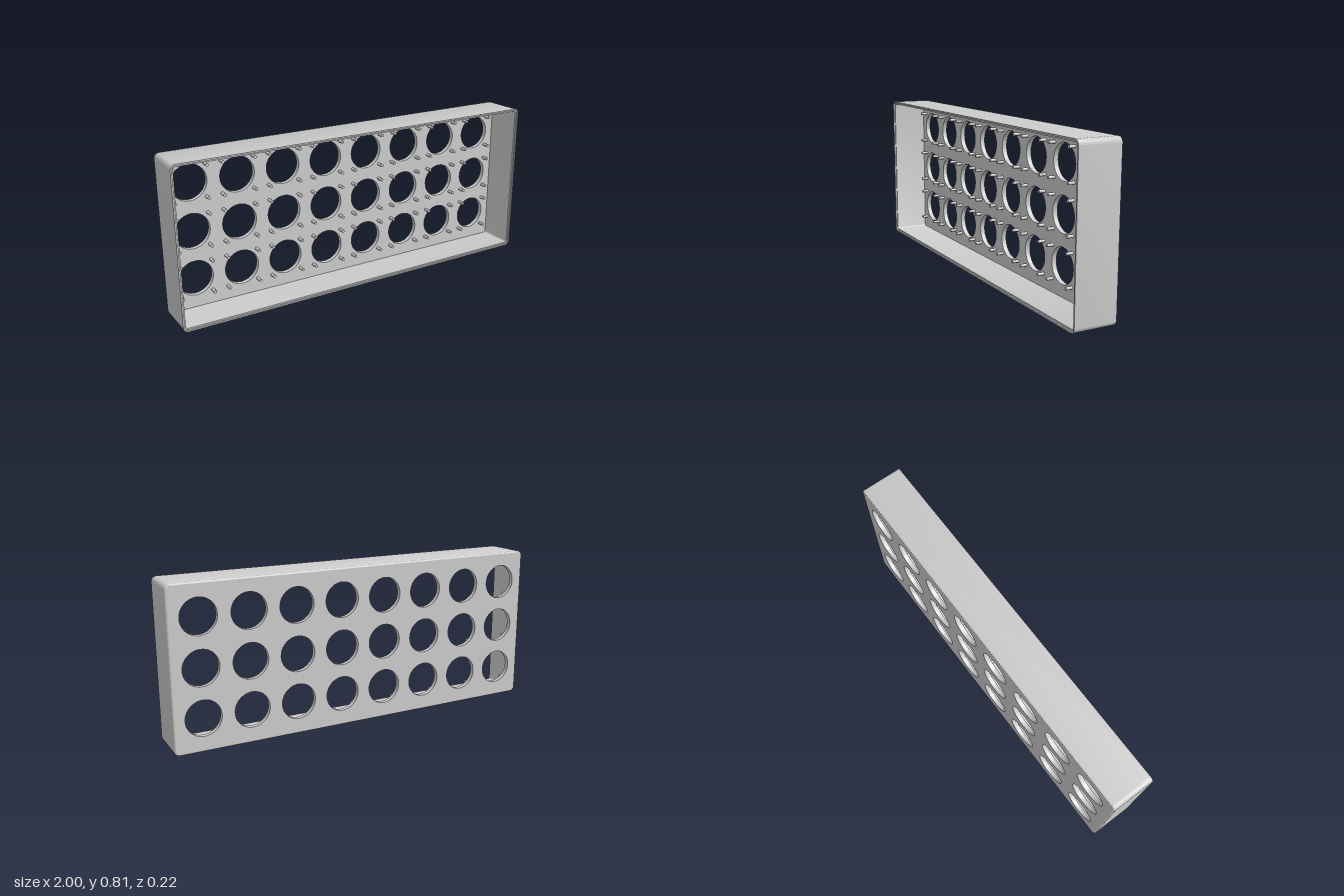
import * as THREE from 'three';
import { toCreasedNormals } from 'three/addons/utils/BufferGeometryUtils.js';

const W = 2, H = 0.815, BACK = -0.11, FRONT = 0.11, FLOOR = -0.085;
const WALL = 0.015, CORNER = 0.026, FILLET = 0.008;
const COLS = 8, ROWS = 3, PITCH = 0.2437, HOLE_R = 0.09, PEG_OFFSET = 0.082;

// Counter-clockwise rounded rectangle, inset from the outer outline
function outline(inset) {
  const r = CORNER - inset, cx = W / 2 - CORNER, cy = H / 2 - CORNER, steps = 8;
  const pts = [];
  [[1, 1], [-1, 1], [-1, -1], [1, -1]].forEach(([sx, sy], q) => {
    for (let i = 0; i <= steps; i++) {
      const a = (q + i / steps) * Math.PI / 2;
      pts.push(new THREE.Vector2(sx * cx + r * Math.cos(a), H / 2 + sy * cy + r * Math.sin(a)));
    }
  });
  return pts;
}

// Skin between successive outlines given as [inset, z]
function loft(profile) {
  const pos = [], index = [], n = outline(0).length;
  profile.forEach(([inset, z]) => outline(inset).forEach(p => pos.push(p.x, p.y, z)));
  for (let k = 0; k < profile.length - 1; k++) {
    for (let i = 0; i < n; i++) {
      const a = k * n + i, b = k * n + (i + 1) % n;
      index.push(a, b, b + n, a, b + n, a + n);
    }
  }
  const g = new THREE.BufferGeometry();
  g.setAttribute('position', new THREE.Float32BufferAttribute(pos, 3));
  g.setIndex(index);
  return toCreasedNormals(g, 0.6);
}

export function createModel() {
  const group = new THREE.Group();
  const mat = new THREE.MeshStandardMaterial({ color: 0xcccccc });
  const doubleMat = new THREE.MeshStandardMaterial({ color: 0xcccccc, side: THREE.DoubleSide });
  const add = (name, geo, material = mat, parent = group) => {
    const m = new THREE.Mesh(geo, material);
    m.name = name;
    parent.add(m);
    return m;
  };

  const centres = [];
  for (let r = 0; r < ROWS; r++) {
    for (let c = 0; c < COLS; c++) {
      centres.push([(c - (COLS - 1) / 2) * PITCH, 0.411 + (r - 1) * PITCH]);
    }
  }

  // Side walls: filleted back edge, stepped front rim, inner faces
  const profile = [];
  for (let i = 0; i <= 4; i++) {
    const a = i / 4 * Math.PI / 2;
    profile.push([FILLET * (1 - Math.sin(a)), BACK + FILLET * (1 - Math.cos(a))]);
  }
  profile.push([0, FRONT], [WALL / 2, FRONT], [WALL / 2, FRONT - 0.008],
    [WALL, FRONT - 0.008], [WALL, FLOOR]);
  add('walls', loft(profile));

  // Perforated panel, outer and inner faces
  const panelFace = (inset, z) => {
    const shape = new THREE.Shape(outline(inset));
    centres.forEach(([x, y]) => {
      shape.holes.push(new THREE.Path().absarc(x, y, HOLE_R, 0, Math.PI * 2, true));
    });
    return new THREE.ShapeGeometry(shape, 24).translate(0, 0, z);
  };
  add('panelInside', panelFace(WALL, FLOOR), doubleMat);
  add('panelOutside', panelFace(FILLET, BACK), doubleMat);

  // Hole linings, each with four locating pegs on the inside
  const depth = FLOOR - BACK, pegLength = 0.035;
  const lining = new THREE.CylinderGeometry(HOLE_R, HOLE_R, depth, 48, 1, true).rotateX(Math.PI / 2);
  const peg = new THREE.CylinderGeometry(0.008, 0.008, pegLength, 16).rotateX(Math.PI / 2);
  centres.forEach(([x, y]) => {
    const cell = new THREE.Group();
    cell.name = 'cell';
    cell.position.set(x, y, 0);
    group.add(cell);
    add('holeLining', lining, doubleMat, cell).position.z = (FLOOR + BACK) / 2;
    for (const sx of [-1, 1]) for (const sy of [-1, 1]) {
      add('peg', peg, mat, cell).position.set(sx * PEG_OFFSET, sy * PEG_OFFSET, FLOOR + pegLength / 2);
    }
  });
  return group;
}
